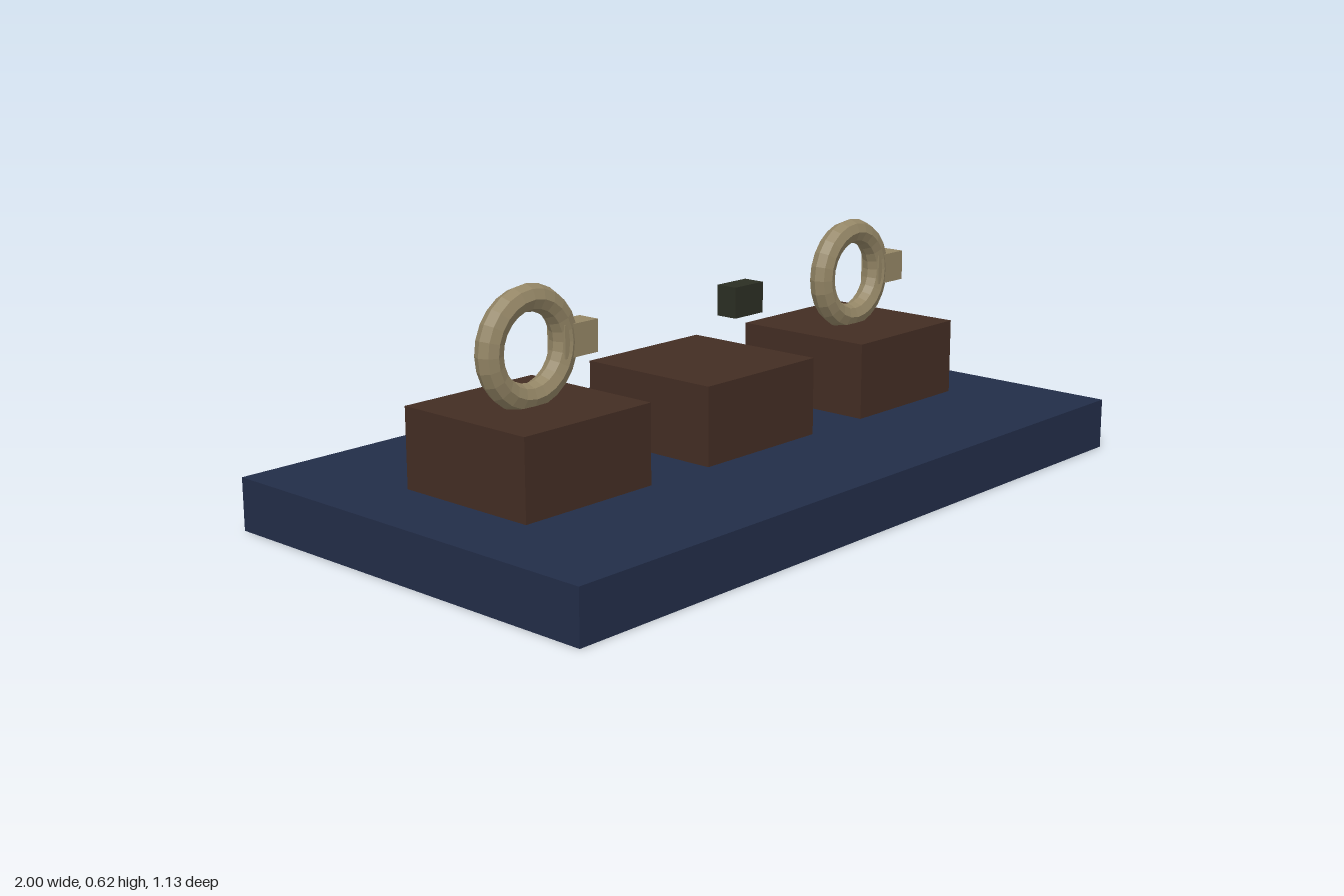
import * as THREE from 'three';

const mat = (name, color) => {
  const m = new THREE.MeshStandardMaterial({ color, flatShading: true });
  m.name = name;
  return m;
};

export function createModel() {
  const group = new THREE.Group();
  const navy = mat('navy', 0x222d48);
  const brown = mat('brown', 0x432d23);
  const brass = mat('brass', 0x938565);
  const dark = mat('dark olive', 0x2b2e23);

  const add = (name, geometry, material, x, y) => {
    const mesh = new THREE.Mesh(geometry, material);
    mesh.name = name;
    mesh.position.set(x, y, 0);
    group.add(mesh);
  };

  // Base slab
  add('base', new THREE.BoxGeometry(2, 0.133, 1.133), navy, 0, 0.0665);

  // Three pedestals; the middle one has only a floating dark tab
  const blockGeo = new THREE.BoxGeometry(0.4, 0.2, 0.4);
  const tabGeo = new THREE.BoxGeometry(0.107, 0.08, 0.06);
  const ringGeo = new THREE.TorusGeometry(0.1167, 0.0333, 8, 24);
  for (const x of [-0.6, 0, 0.6]) {
    add('pedestal', blockGeo, brown, x, 0.233);
    add('tab', tabGeo, x === 0 ? dark : brass, x + 0.1467, 0.467);
    if (x !== 0) add('ring', ringGeo, brass, x, 0.467);
  }
  return group;
}
